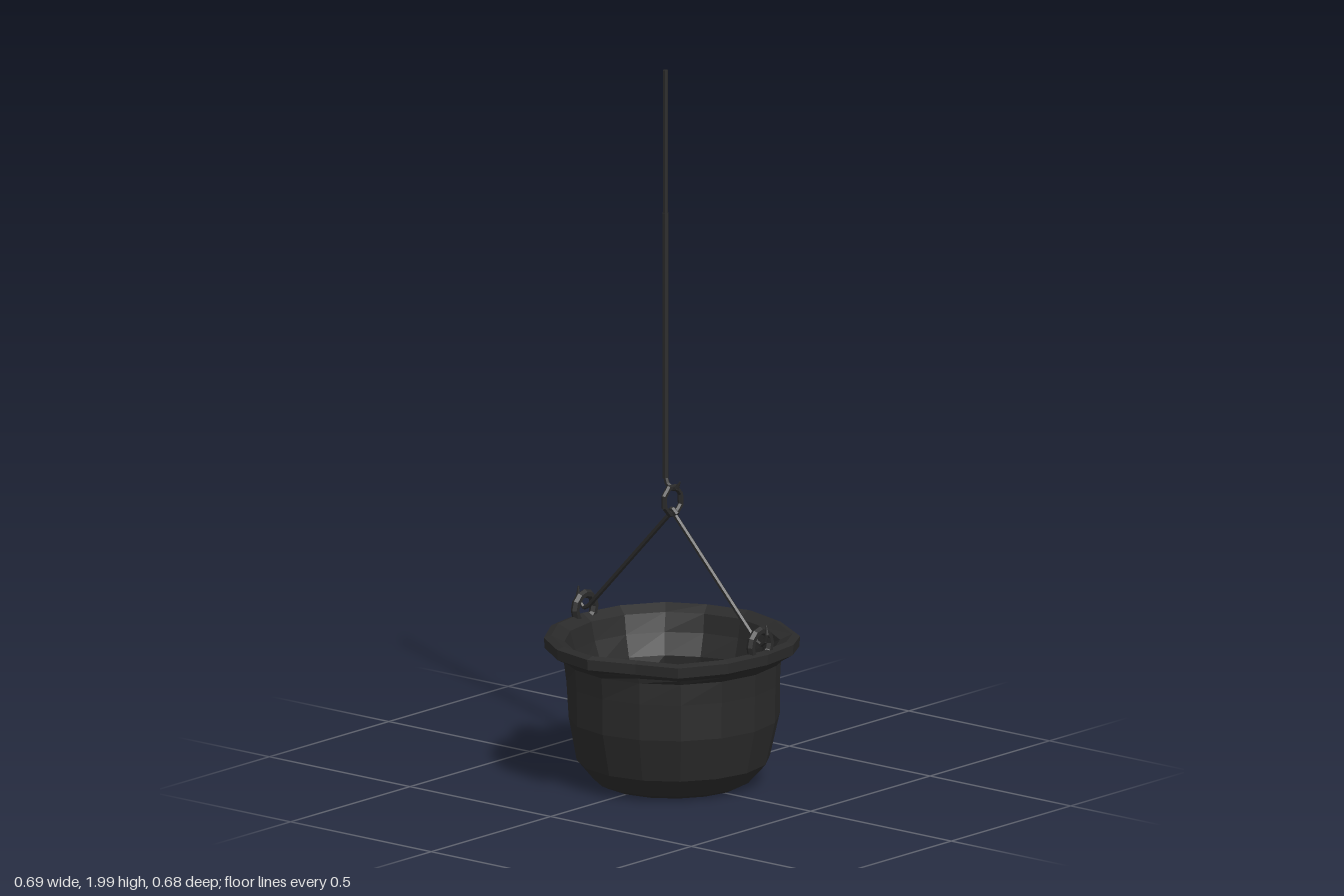
import * as THREE from 'three';

const SIDES = 16;
const CX = 0.01; // axis of the pot, rod and rings

// Battered rim outline, [x, z] from the pot's axis, starting at +x towards +z
const RIM = [
  [0.335, 0], [0.31, 0.122], [0.252, 0.24], [0.136, 0.315],
  [0, 0.34], [-0.137, 0.315], [-0.235, 0.22], [-0.285, 0.11],
  [-0.357, 0], [-0.33, -0.13], [-0.252, -0.243], [-0.137, -0.315],
  [0, -0.34], [0.136, -0.315], [0.252, -0.24], [0.308, -0.13],
];

// Profile rows: radius, height, how far the row follows the rim outline
const PROFILE = [
  [0, 0.015, 0], [0.195, 0.015, 0], [0.215, 0.025, 0], [0.265, 0.08, 0],
  [0.292, 0.2, 0], [0.293, 0.3, 0], [0.295, 0.36, 0.15], [0.312, 0.378, 0.6],
  [0.338, 0.395, 1], [0.34, 0.424, 1], [0.32, 0.431, 1], [0.288, 0.412, 0.7],
  [0.276, 0.36, 0.15], [0.274, 0.3, 0], [0.271, 0.2, 0], [0.245, 0.09, 0],
  [0.19, 0.05, 0], [0.15, 0.042, 0], [0.095, 0.037, 0], [0, 0.035, 0],
];

function bump(angle, centre, width) {
  const d = Math.atan2(Math.sin(angle - centre), Math.cos(angle - centre)) / width;
  return Math.exp(-d * d);
}

// Pot wall, inside and out, with dents in the back and the back left
function potGeometry() {
  const pos = [], index = [];
  for (const [r, y, follow] of PROFILE) {
    for (let j = 0; j < SIDES; j++) {
      const a = (j / SIDES) * Math.PI * 2;
      const body = y > 0.06 && y < 0.34 && r > 0.2;
      let rr = r;
      if (body) {
        rr -= (y > 0.25 ? 0.02 : y > 0.15 ? 0.042 : 0.018) * bump(a, -Math.PI / 2, 0.65);
        if (y > 0.25) rr -= 0.025 * bump(a, -0.4, 0.5);
        if (y > 0.15 && y < 0.25) rr += 0.008 * bump(a, 0, 0.4);
      }
      const [ex, ez] = RIM[j];
      const x = THREE.MathUtils.lerp(Math.cos(a) * rr, ex * rr / 0.34, follow);
      const z = THREE.MathUtils.lerp(Math.sin(a) * rr, ez * rr / 0.34, follow);
      const sag = follow * 0.014 * (bump(a, 2.5, 0.4) + bump(a, 0.75, 0.35));
      pos.push(x, y - sag, z);
    }
  }
  for (let i = 0; i < PROFILE.length - 1; i++) {
    for (let j = 0; j < SIDES; j++) {
      const k = (j + 1) % SIDES;
      const a = i * SIDES + j, b = a + SIDES, c = i * SIDES + k, d = c + SIDES;
      if (PROFILE[i][0] > 0) index.push(a, b, c);
      if (PROFILE[i + 1][0] > 0) index.push(c, b, d);
    }
  }
  const g = new THREE.BufferGeometry();
  g.setAttribute('position', new THREE.Float32BufferAttribute(pos, 3));
  g.setIndex(index);
  const flat = g.toNonIndexed();
  flat.computeVertexNormals();
  return flat;
}

export function createModel() {
  const iron = new THREE.MeshStandardMaterial({ color: 0x2a2a2a, flatShading: true });
  iron.name = 'blackIron';
  const model = new THREE.Group();
  model.name = 'hangingCauldron';
  const axis = new THREE.Group();
  axis.name = 'cauldronAssembly';
  axis.position.x = CX;
  model.add(axis);

  function add(geometry, name, parent = axis) {
    const mesh = new THREE.Mesh(geometry, iron);
    mesh.name = name;
    parent.add(mesh);
    return mesh;
  }

  // Straight bars joined through a list of [y, z] points; the end may taper
  function bar(points, radius, name, endRadius = radius) {
    const group = new THREE.Group();
    group.name = name;
    axis.add(group);
    for (let i = 0; i < points.length - 1; i++) {
      const from = new THREE.Vector3(0, ...points[i]);
      const to = new THREE.Vector3(0, ...points[i + 1]);
      const dir = to.clone().sub(from);
      const top = i === points.length - 2 ? endRadius : radius;
      const m = add(new THREE.CylinderGeometry(top, radius, dir.length(), 6), name + 'Segment', group);
      m.position.copy(from).add(to).multiplyScalar(0.5);
      m.quaternion.setFromUnitVectors(new THREE.Vector3(0, 1, 0), dir.normalize());
    }
  }

  add(potGeometry(), 'pot');

  for (const s of [1, -1]) {
    const side = s > 0 ? 'front' : 'back';
    // Ear standing on the rim
    const ear = add(new THREE.TorusGeometry(0.04, 0.012, 6, 12), side + 'Ear');
    ear.position.set(0, 0.447, s * 0.312);
    // Hanger rod with a hook curling up outside the ear
    bar([[0.77, 0], [0.455, s * 0.298]], 0.007, side + 'HangerRod');
    bar([[0.455, s * 0.298], [0.447, s * 0.315], [0.46, s * 0.33], [0.48, s * 0.336], [0.505, s * 0.334]],
      0.006, side + 'HangerHook', 0.002);
  }
  // Small eye joining both hanger rods under the ring
  bar([[0.762, -0.016], [0.776, 0], [0.762, 0.016]], 0.008, 'hangerEye');

  // Link between the hanger and the long rod
  const ring = add(new THREE.TorusGeometry(0.036, 0.008, 6, 8), 'linkRing');
  ring.position.set(0, 0.799, 0);
  ring.scale.y = 1.12;
  ring.rotation.z = Math.PI / 8;

  // Long rod and its hook through the ring
  bar([[0.858, -0.025], [1.6, -0.025]], 0.009, 'lowerRod');
  bar([[1.6, -0.025], [2, -0.025]], 0.007, 'upperRod');
  bar([[0.865, -0.025], [0.843, -0.018], [0.832, 0], [0.837, 0.016], [0.856, 0.027]],
    0.007, 'rodHook', 0.002);

  return model;
}
